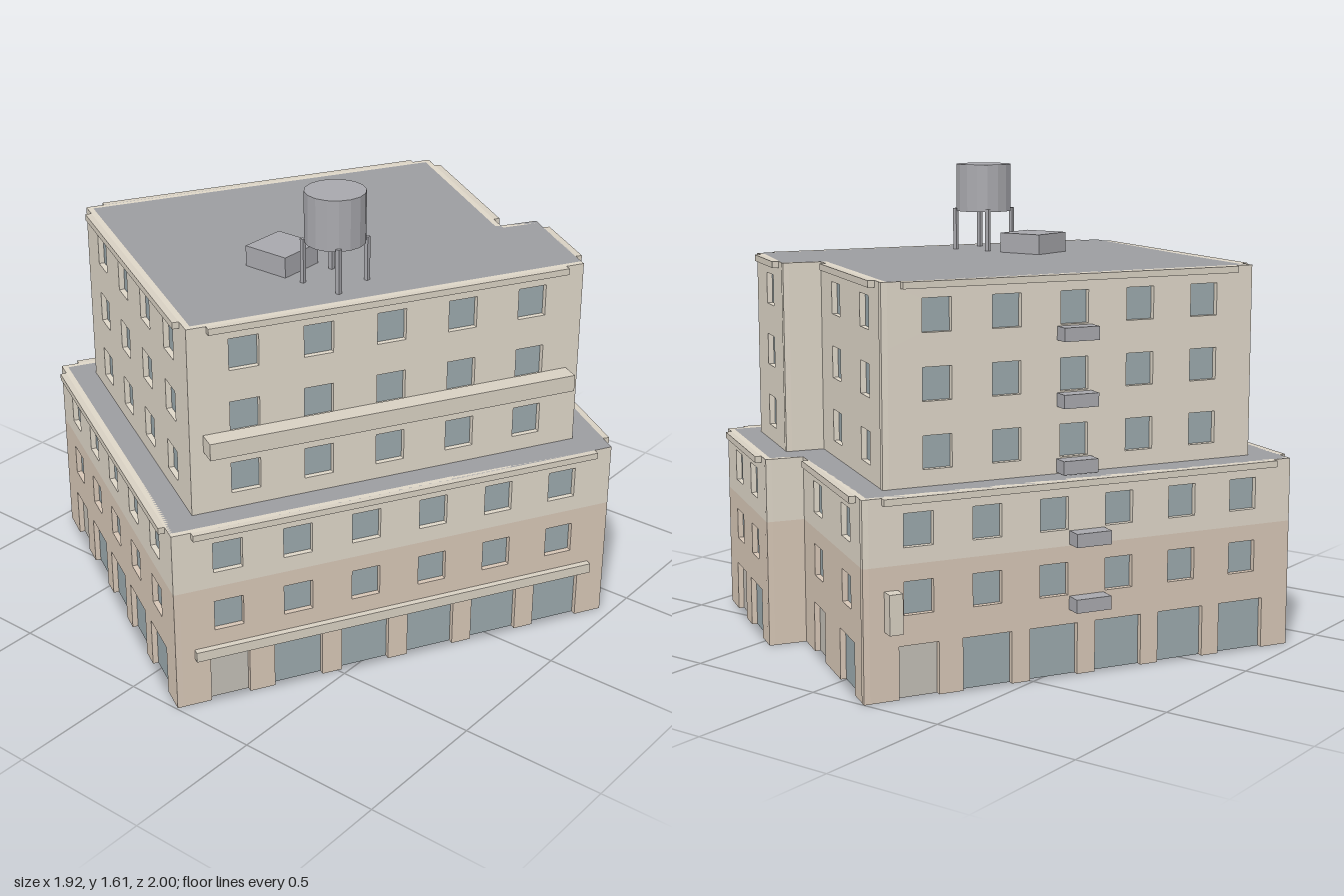
import * as THREE from 'three';

const mat = (color, side = THREE.FrontSide) =>
  new THREE.MeshStandardMaterial({ color, side, flatShading: true });

const M = {
  lowerWall: mat(0xd6c6b6),
  upperWall: mat(0xded6c8),
  glass: mat(0x9aa8ac),
  door: mat(0xc2beb6),
  roof: mat(0x9c9da0),
  metal: mat(0xa8a8ad),
  ledge: mat(0xd8d0c2),
};

const FLOOR = 0.65 / 3;     // storey height
const RECESS = 0.02;        // depth of window and door reveals
const MARGIN = 0.186;       // facade end to centre of first opening

// Footprints as [x, z] corners, starting at the front-left edge
const LOWER = [[-0.96, 0.352], [0.197, 0.995], [0.957, -0.383], [0.45, -0.72], [0.382, -0.608], [-0.212, -1]];
const UPPER = [[-0.82, 0.312], [0.159, 0.856], [0.82, -0.352], [0.487, -0.577], [0.418, -0.462], [-0.175, -0.855]];

function add(parent, name, geometry, material, x = 0, y = 0, z = 0) {
  const mesh = new THREE.Mesh(geometry, material);
  mesh.name = name;
  mesh.position.set(x, y, z);
  parent.add(mesh);
  return mesh;
}

const box = (parent, name, w, h, d, material, x, y, z) =>
  add(parent, name, new THREE.BoxGeometry(w, h, d), material, x, y, z);

// Horizontal sheet over a footprint, facing up or down
function slab(parent, name, corners, y, up) {
  const s = up ? -1 : 1;
  const shape = new THREE.Shape(corners.map(([x, z]) => new THREE.Vector2(x, s * z)));
  const geometry = new THREE.ShapeGeometry(shape).rotateX(s * Math.PI / 2);
  add(parent, name, geometry, M.roof, 0, y, 0);
}

// One storey of a facade with recessed openings; local x runs along the wall, z points out
function storey(parent, length, floor, count) {
  const y0 = floor * FLOOR, y1 = y0 + FLOOR;
  const shape = new THREE.Shape();
  const centres = [];
  for (let i = 0; i < count; i++) {
    centres.push(count === 1 ? length / 2 : MARGIN + (length - 2 * MARGIN) * i / (count - 1));
  }
  shape.moveTo(0, y0);
  centres.forEach((c, i) => {
    const ground = floor === 0;
    const isDoor = ground && i === 0;
    const w = ground ? (isDoor ? 0.135 : 0.17) : 0.1;
    const h = ground ? 0.173 : 0.108;
    const b = ground ? 0 : y0 + (FLOOR - h) / 2;
    const l = c - w / 2, r = c + w / 2;
    if (ground) {
      // Doors and shop windows are notches in the bottom edge
      shape.lineTo(l, 0);
      shape.lineTo(l, h);
      shape.lineTo(r, h);
      shape.lineTo(r, 0);
    } else {
      const hole = new THREE.Path();
      hole.moveTo(l, b);
      hole.lineTo(l, b + h);
      hole.lineTo(r, b + h);
      hole.lineTo(r, b);
      hole.closePath();
      shape.holes.push(hole);
    }
    add(parent, isDoor ? 'door' : ground ? 'shopWindow' : 'window',
      new THREE.PlaneGeometry(w, h), isDoor ? M.door : M.glass, c, b + h / 2, -RECESS + 0.001);
  });
  shape.lineTo(length, y0);
  shape.lineTo(length, y1);
  shape.lineTo(0, y1);
  shape.closePath();
  const geometry = new THREE.ExtrudeGeometry(shape, { depth: RECESS, bevelEnabled: false });
  add(parent, 'wall', geometry, floor < 2 ? M.lowerWall : M.upperWall, 0, 0, -RECESS);
}

// A tier of the building: one facade per footprint edge; returns the facades
function tier(parent, name, corners, floors, counts) {
  const group = new THREE.Group();
  group.name = name;
  parent.add(group);
  const top = (floors[floors.length - 1] + 1) * FLOOR;
  const facades = corners.map(([x, z], i) => {
    const [x2, z2] = corners[(i + 1) % corners.length];
    const length = Math.hypot(x2 - x, z2 - z);
    const facade = new THREE.Group();
    facade.name = 'facade';
    facade.position.set(x, 0, z);
    facade.rotation.y = Math.atan2(z - z2, x2 - x);
    group.add(facade);
    floors.forEach(f => storey(facade, length, f, counts[i]));
    // Cornice strip along the top, stopping short of the corners
    if (counts[i]) box(facade, 'cornice', length - 0.13, 0.022, 0.022, M.ledge, length / 2, top - 0.011, 0.011);
    return { facade, length };
  });
  slab(group, 'roof', corners, top, true);
  return facades;
}

export function createModel() {
  const model = new THREE.Group();
  model.name = 'building';

  const lower = tier(model, 'lowerTier', LOWER, [0, 1, 2], [5, 6, 2, 0, 2, 6]);
  const upper = tier(model, 'upperTier', UPPER, [3, 4, 5], [4, 5, 1, 0, 2, 5]);
  slab(model, 'base', LOWER, 0, false);

  // Ledge above the shops and long balcony on the right-hand side
  const shopSide = lower[1], balconySide = upper[1];
  box(shopSide.facade, 'shopLedge', shopSide.length - 0.13, 0.035, 0.022, M.ledge, shopSide.length / 2, 0.194, 0.011);
  box(balconySide.facade, 'balcony', balconySide.length - 0.09, 0.058, 0.066, M.ledge, balconySide.length / 2, 0.9, 0.033);

  // Cooling units stacked below the middle windows of the other long side
  for (let f = 1; f < 6; f++) {
    const { facade, length } = f < 3 ? lower[5] : upper[5];
    box(facade, 'coolingUnit', 0.125, 0.045, 0.055, M.metal, length / 2, f * FLOOR + 0.027, 0.0275);
  }
  box(lower[5].facade, 'wallBox', 0.045, 0.13, 0.045, M.ledge, 0.093, 0.29, 0.0225);

  // Rooftop vent housing
  box(model, 'roofHousing', 0.168, 0.07, 0.168, M.metal, 0.053, 1.335, 0.275);

  // Water tank on four legs
  const tank = new THREE.Group();
  tank.name = 'waterTank';
  tank.position.set(0.275, 1.3, 0.275);
  model.add(tank);
  add(tank, 'tankBody', new THREE.CylinderGeometry(0.1, 0.1, 0.17, 16), M.metal, 0, 0.225, 0);
  for (const x of [-0.073, 0.073]) {
    for (const z of [-0.073, 0.073]) box(tank, 'tankLeg', 0.014, 0.15, 0.014, M.metal, x, 0.075, z);
  }

  return model;
}
